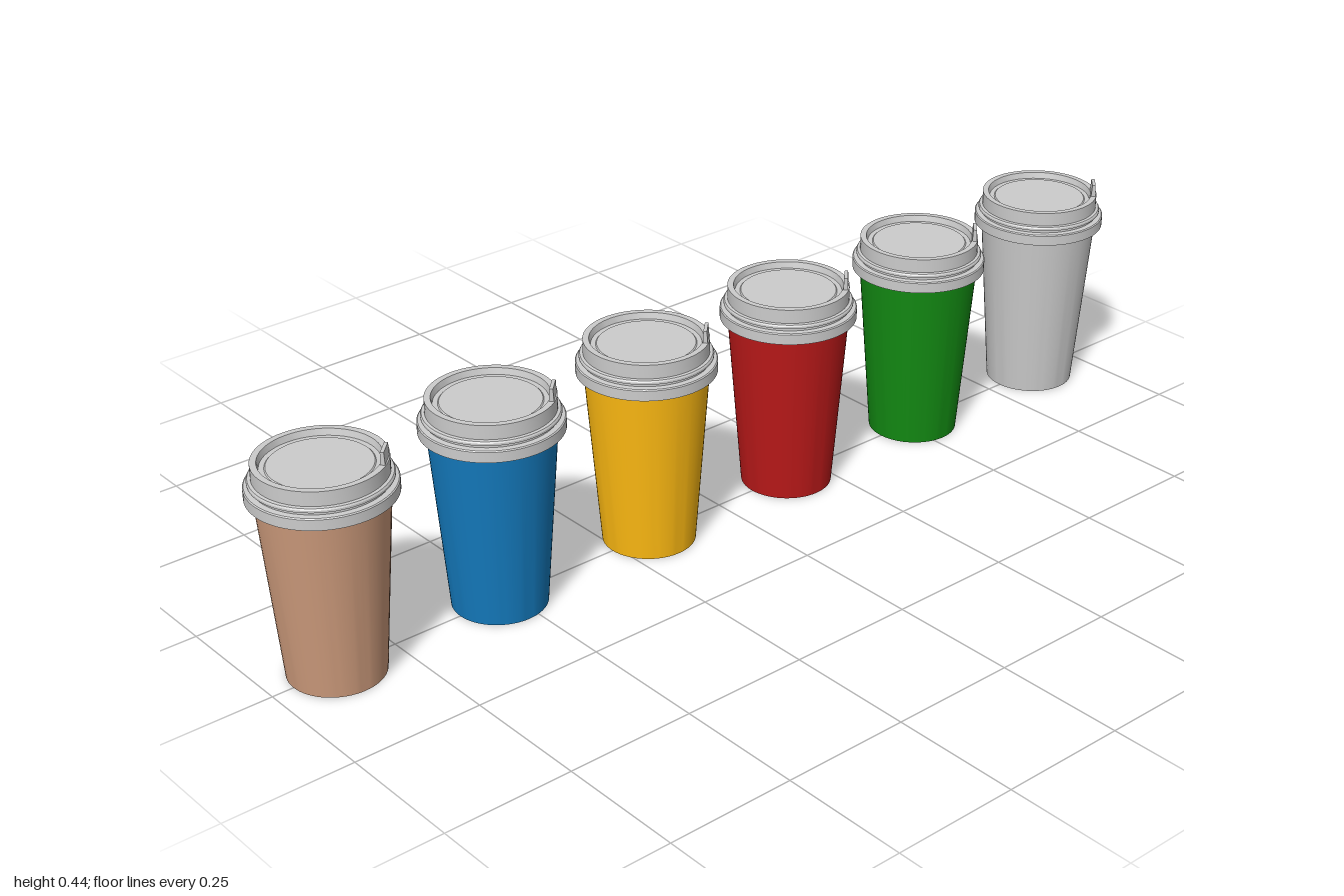
import * as THREE from 'three';
import { toCreasedNormals } from 'three/addons/utils/BufferGeometryUtils.js';

const SEGMENTS = 64;
const SPACING = 0.348;
// cup colours from front to back
const COLORS = [0xcc9a7b, 0x147abd, 0xffbb12, 0xbb1919, 0x138b13, 0xcccccc];

function lathe(points) {
  const profile = points.map(([r, y]) => new THREE.Vector2(r, y));
  return toCreasedNormals(new THREE.LatheGeometry(profile, SEGMENTS), 0.4);
}

function part(name, geometry, material) {
  const mesh = new THREE.Mesh(geometry, material);
  mesh.name = name;
  return mesh;
}

export function createModel() {
  const model = new THREE.Group();
  model.name = 'coffeeCups';

  // tapered cup with a slightly recessed base
  const cupGeometry = lathe([
    [0, 0.013], [0.084, 0.013], [0.083, 0], [0.088, 0], [0.116, 0.355], [0.108, 0.355],
  ]);

  // lid: skirt, groove, snap ridge, raised wall, rim and sunken top
  const lidGeometry = lathe([
    [0.108, 0.35], [0.13, 0.35], [0.13, 0.37], [0.128, 0.372],
    [0.118, 0.373], [0.118, 0.377], [0.123, 0.379], [0.123, 0.383], [0.121, 0.386],
    [0.1155, 0.387], [0.1155, 0.414], [0.104, 0.414], [0.101, 0.402],
    [0.092, 0.402], [0.09, 0.404], [0, 0.404],
  ]);

  // upright tab on the rim, thicker at its foot
  const tabShape = new THREE.Shape([
    [0.103, 0.4], [0.113, 0.4], [0.1125, 0.416], [0.1115, 0.4375], [0.105, 0.4375],
  ].map(([x, y]) => new THREE.Vector2(x, y)));
  const tabGeometry = new THREE.ExtrudeGeometry(tabShape, { depth: 0.037, bevelEnabled: false });
  tabGeometry.translate(0, 0, -0.0185);
  tabGeometry.rotateY(Math.PI / 4);

  const lidMaterial = new THREE.MeshStandardMaterial({ color: 0xcccccc });

  // row of cups along z
  COLORS.forEach((color, i) => {
    const cup = new THREE.Group();
    cup.name = `cup${i + 1}`;
    cup.add(
      part('cupBody', cupGeometry, new THREE.MeshStandardMaterial({ color })),
      part('lid', lidGeometry, lidMaterial),
      part('lidTab', tabGeometry, lidMaterial),
    );
    cup.position.z = (2.5 - i) * SPACING;
    model.add(cup);
  });
  return model;
}
